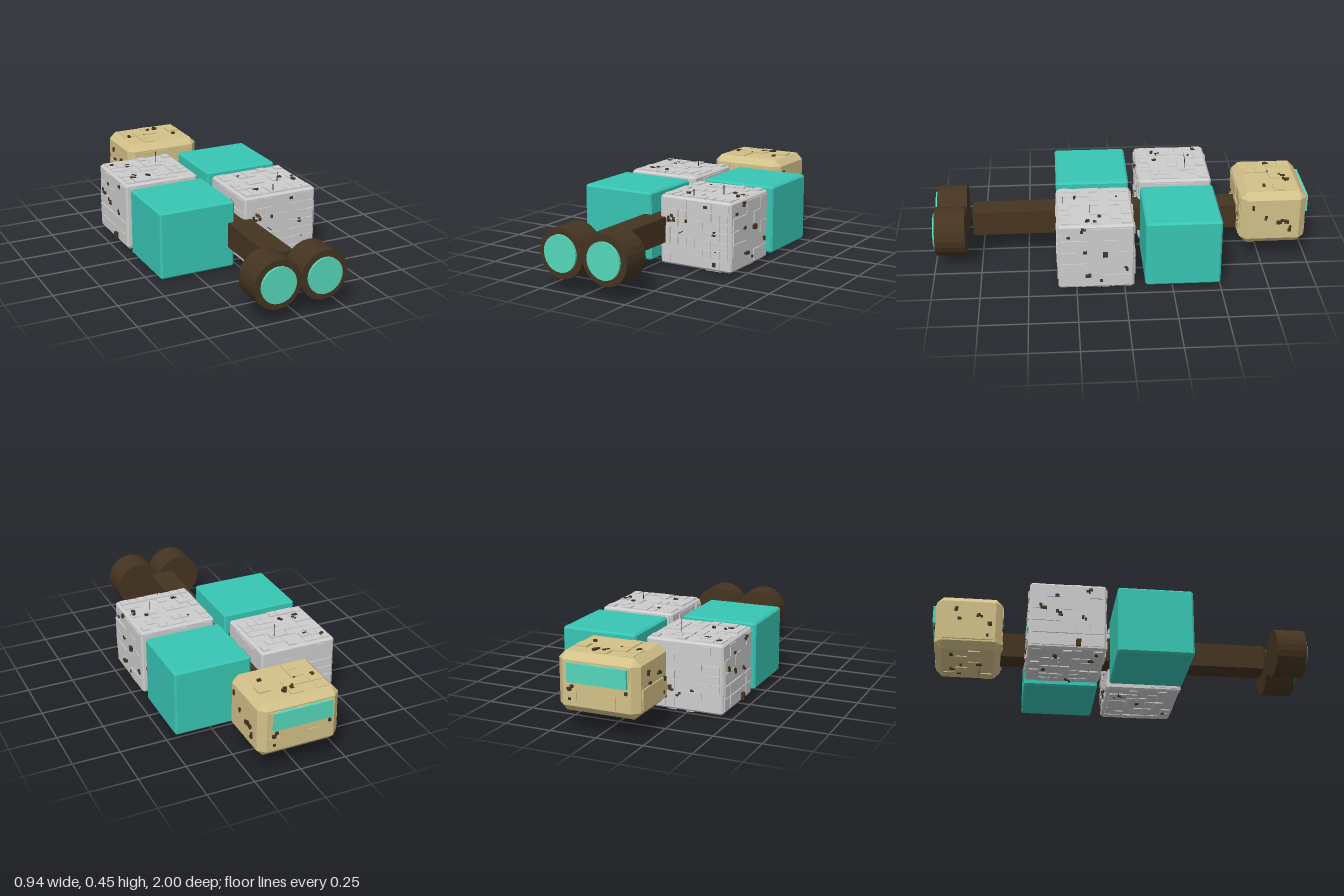
import * as THREE from 'three';
import { mergeGeometries } from 'three/addons/utils/BufferGeometryUtils.js';
import { ConvexGeometry } from 'three/addons/geometries/ConvexGeometry.js';

const material = (name, color) => {
  const m = new THREE.MeshStandardMaterial({ color });
  m.name = name;
  return m;
};

// Small seeded generator, so the surface detail is always the same
function seeded(seed) {
  let s = seed;
  return () => (s = (s * 16807) % 2147483647) / 2147483647;
}

// Box with every edge and corner cut by c
function chamferBox(w, h, d, c) {
  const points = [], half = [w / 2, h / 2, d / 2];
  for (const sx of [-1, 1]) for (const sy of [-1, 1]) for (const sz of [-1, 1])
    for (let full = 0; full < 3; full++) {
      const p = half.map((v, i) => (i === full ? v : v - c));
      points.push(new THREE.Vector3(p[0] * sx, p[1] * sy, p[2] * sz));
    }
  return new ConvexGeometry(points);
}

// The six faces as [u axis, v axis, sign], the normal axis being the third
const FACES = [[0, 1, 1], [0, 1, -1], [2, 1, 1], [2, 1, -1], [0, 2, 1], [0, 2, -1]];

// Axis-aligned box standing on a face at (u, v)
function onFace([a, b, sign], half, u, v, w, h, depth) {
  const n = 3 - a - b, size = [0, 0, 0], pos = [0, 0, 0];
  size[a] = w; size[b] = h; size[n] = depth + 0.004;
  pos[a] = u; pos[b] = v; pos[n] = sign * (half[n] + depth / 2 - 0.002);
  return new THREE.BoxGeometry(...size).translate(...pos);
}

export function createModel() {
  const model = new THREE.Group();
  const teal = material('teal panels', 0x38c5b3);
  const glow = material('bright teal', 0x55d6ba);
  const grey = material('grey hull', 0xcdcdce);
  const brown = material('dark brown', 0x453421);
  const tan = material('tan cabin', 0xd3c189);

  function add(name, geometry, mat, parent = model, x = 0, y = 0, z = 0) {
    const mesh = new THREE.Mesh(geometry, mat);
    mesh.name = name;
    mesh.position.set(x, y, z);
    parent.add(mesh);
    return mesh;
  }

  // Raised plates and clusters of small dark fittings on all six sides
  function addDetail(group, size, margin, mat, seed, coverage, cellSize) {
    const rand = seeded(seed), plates = [], fittings = [];
    const half = size.map((s) => s / 2);
    FACES.forEach((face, f) => {
      const W = size[face[0]] - 2 * margin, H = size[face[1]] - 2 * margin;
      const cell = cellSize * (f === 2 || f === 3 ? 1.5 : 1);
      const nu = Math.round(W / cell), nv = Math.round(H / cell);
      const cu = W / nu, cv = H / nv, used = new Set();
      for (let j = 0; j < nv; j++) for (let i = 0; i < nu; i++) {
        if (used.has(i + ',' + j) || rand() > coverage) continue;
        const wide = i + 1 < nu && !used.has(i + 1 + ',' + j) && rand() < 0.25 ? 2 : 1;
        for (let k = 0; k < wide; k++) used.add(i + k + ',' + j);
        plates.push(onFace(face, half, -W / 2 + (i + wide / 2) * cu, -H / 2 + (j + 0.5) * cv,
          cu * wide - 0.006, cv - 0.006, 0.003 + rand() * 0.005));
      }
      for (let k = 0; k < 5; k++) {
        const u = (rand() - 0.5) * W * 0.9, v = (rand() - 0.5) * H * 0.9;
        const parts = 1 + Math.floor(rand() * 3);
        for (let q = 0; q < parts; q++)
          fittings.push(onFace(face, half, u + (q && (rand() - 0.5) * 0.03), v + (q && (rand() - 0.5) * 0.03),
            0.009 + rand() * 0.012, 0.009 + rand() * 0.01, 0.006 + rand() * 0.005));
      }
    });
    add('hullPlates', mergeGeometries(plates), mat, group);
    add('hullFittings', mergeGeometries(fittings), brown, group);
  }

  // Long central beam
  add('spine', new THREE.BoxGeometry(0.134, 0.134, 1.43), brown, model, -0.002, 0.197, 0.08);

  // Four cargo blocks, alternating smooth teal and plated grey
  const blockSize = [0.42, 0.366, 0.394];
  for (const [side, z, plated] of [[-1, 0.147, false], [1, 0.147, true], [-1, -0.305, true], [1, -0.305, false]]) {
    const block = new THREE.Group();
    block.name = plated ? 'platedBlock' : 'smoothBlock';
    block.position.set(side * 0.24, 0.197, z);
    model.add(block);
    add('blockBody', chamferBox(...blockSize, 0.01), plated ? grey : teal, block);
    if (plated) addDetail(block, blockSize, 0.014, grey, side > 0 ? 4711 : 9203, 0.5, 0.05);
  }

  // Larger fittings on the outer sides of the grey blocks
  for (const [x, y, z, w, h, d] of [
    [0.456, 0.213, 0.1, 0.016, 0.026, 0.026], [0.459, 0.092, 0.19, 0.018, 0.014, 0.03],
    [-0.459, 0.046, -0.25, 0.022, 0.036, 0.024], [0.302, 0.345, 0.347, 0.018, 0.013, 0.014],
    [0.356, 0.05, 0.347, 0.018, 0.022, 0.014],
  ]) add('hullBox', new THREE.BoxGeometry(w, h, d), brown, model, x, y, z);

  // Tan cabin with its window facing away from the engines
  const cabin = new THREE.Group();
  cabin.name = 'cabin';
  cabin.position.set(0, 0.255, -0.808);
  model.add(cabin);
  const cabinSize = [0.435, 0.3, 0.35];
  add('cabinBody', chamferBox(...cabinSize, 0.036), tan, cabin);
  addDetail(cabin, cabinSize, 0.042, tan, 1337, 0.38, 0.075);
  add('cabinWindow', new THREE.BoxGeometry(0.316, 0.096, 0.02), glow, cabin, -0.006, 0.056, -0.182);

  // Thin antennas: base point and axis length
  for (const [x, y, z, dy, dz] of [
    [-0.165, 0.38, -0.37, 0.073, 0], [0.212, 0.38, 0.31, 0.043, 0], [0.312, 0.38, 0.175, 0.05, 0],
    [0.165, 0.2, 0.344, 0, 0.045], [0.365, 0.12, 0.344, 0, 0.02], [-0.165, 0.25, -0.108, 0, 0.045],
    [0.0, 0.105, -0.745, -0.07, 0],
  ]) add('antenna', new THREE.BoxGeometry(0.003, Math.abs(dy) || 0.003, dz || 0.003), brown, model,
    x, y + dy / 2, z + dz / 2);

  // Twin engines with bright exhaust discs
  const drum = (r, length) => {
    const g = new THREE.CylinderGeometry(r, r, length, 24).rotateX(Math.PI / 2).toNonIndexed();
    g.computeVertexNormals();
    return g;
  };
  for (const side of [-1, 1]) {
    add('engine', drum(0.129, 0.16), brown, model, side * 0.127, 0.196, 0.908);
    add('engineExhaust', drum(0.095, 0.03), glow, model, side * 0.127, 0.196, 0.985);
  }
  return model;
}
